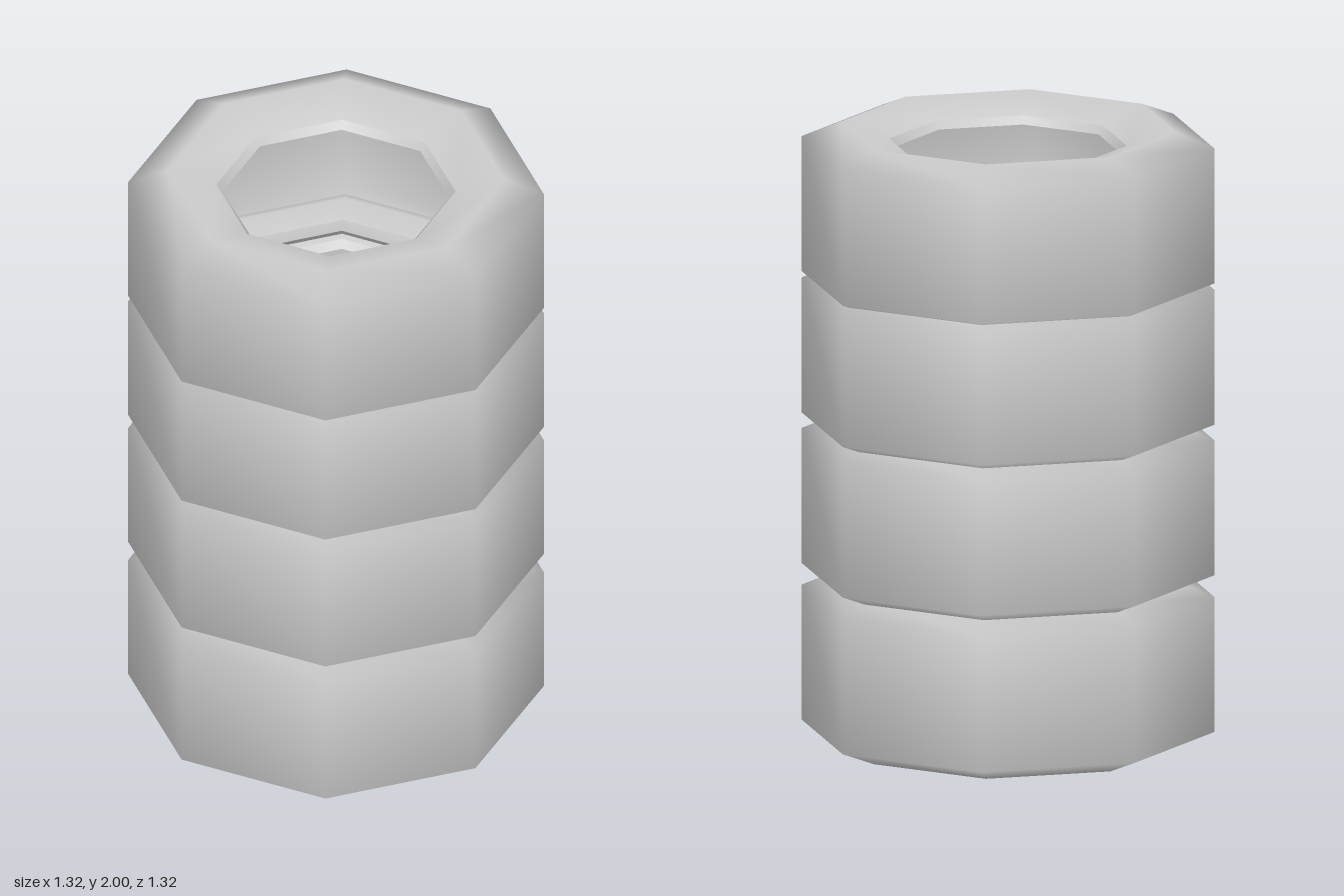
import * as THREE from 'three';

// Octagonal ring surface swept from a [radius, height] profile
function ring(name, profile, material) {
  const points = profile.map(([r, y]) => new THREE.Vector2(r, y));
  const mesh = new THREE.Mesh(new THREE.LatheGeometry(points, 8), material);
  mesh.name = name;
  return mesh;
}

// One hollow tyre; separate sweeps keep the edges of the bead sharp
function createTyre(material) {
  const tyre = new THREE.Group();
  tyre.add(
    // Tread and both sidewalls, dipping towards the hole
    ring('outerShell', [[0.38, 0.05], [0.535, 0], [0.66, 0.05], [0.66, 0.49], [0.535, 0.54], [0.38, 0.49]], material),
    // Narrow beads around the hole
    ring('topBead', [[0.38, 0.49], [0.36, 0.465]], material),
    ring('bottomBead', [[0.36, 0.075], [0.38, 0.05]], material),
    // Hollow inside
    ring('innerLining', [[0.36, 0.465], [0.53, 0.505], [0.62, 0.465], [0.62, 0.075], [0.53, 0.035], [0.36, 0.075]], material)
  );
  return tyre;
}

export function createModel() {
  const model = new THREE.Group();
  model.name = 'tyreStack';
  const material = new THREE.MeshStandardMaterial({ color: 0xcccccc, side: THREE.DoubleSide });

  // Four tyres, each pressed slightly into the one below
  [0, 0.51, 1.0, 1.46].forEach((y, i) => {
    const tyre = createTyre(material);
    tyre.name = `tyre${i + 1}`;
    tyre.position.y = y;
    model.add(tyre);
  });
  return model;
}
